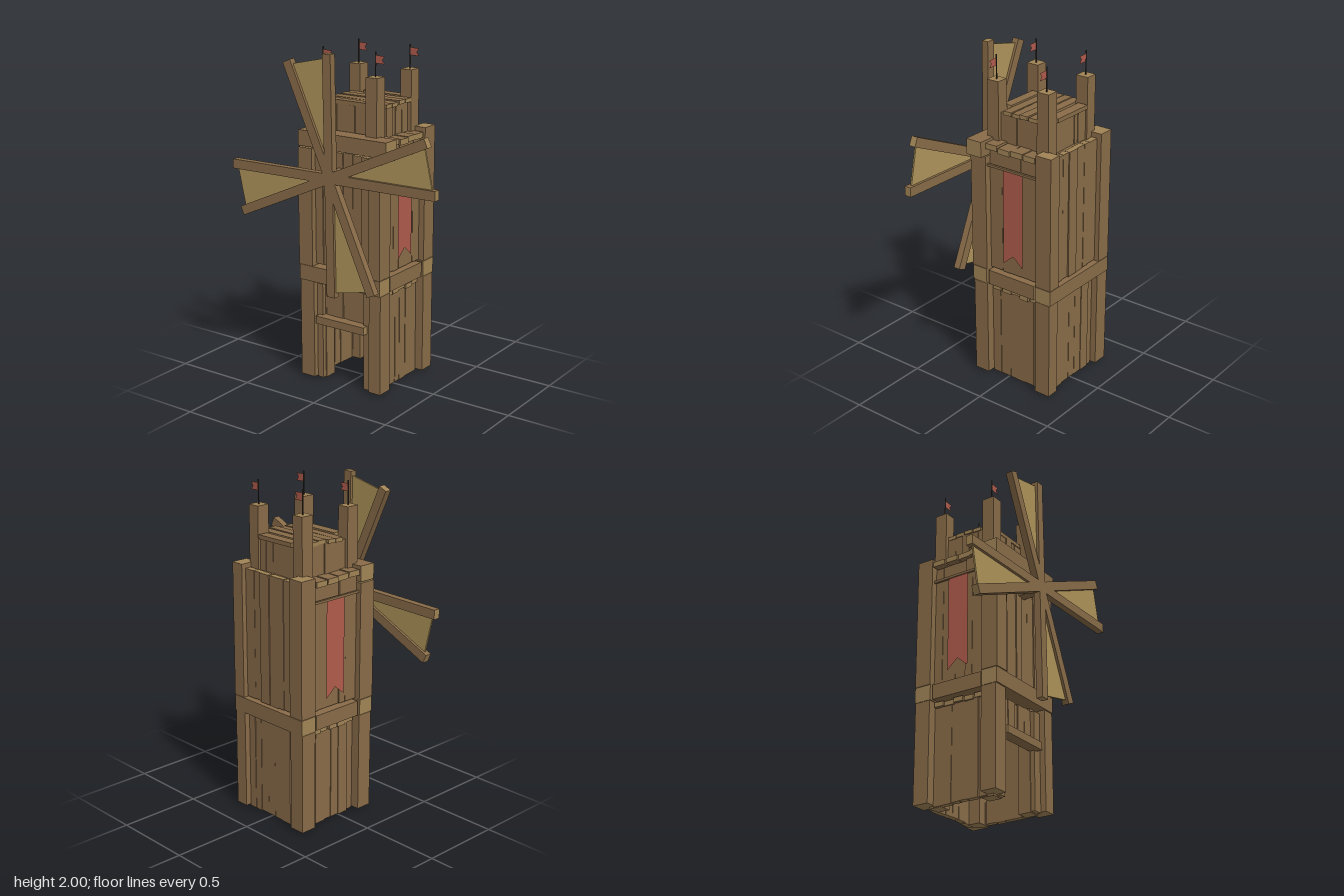
import * as THREE from 'three';

const paint = (color, side = THREE.FrontSide) =>
  new THREE.MeshStandardMaterial({ color, side, flatShading: true });

export function createModel() {
  const model = new THREE.Group();
  model.name = 'windmillTower';
  const wood = paint(0x886b48), endGrain = paint(0xa08355);
  const canvas = paint(0xae935a);
  const cloth = paint(0xb05b4c, THREE.DoubleSide);
  const iron = paint(0x3a3029);

  // Seeded jitter for the rough planks
  let seed = 7;
  const jitter = (a) => {
    seed = (seed * 16807) % 2147483647;
    return (seed / 2147483647 - 0.5) * 2 * a;
  };
  const toShape = (points) => new THREE.Shape(points.map(([x, y]) => new THREE.Vector2(x, y)));

  // Timber between two bounds; its two ends along `axis` show lighter end grain
  function timber(name, x, y, z, axis, parent = model) {
    const mats = [0, 0, 1, 1, 2, 2].map((a) => (a === axis ? endGrain : wood));
    const mesh = new THREE.Mesh(new THREE.BoxGeometry(x[1] - x[0], y[1] - y[0], z[1] - z[0]), mats);
    mesh.position.set((x[0] + x[1]) / 2, (y[0] + y[1]) / 2, (z[0] + z[1]) / 2);
    mesh.name = name;
    parent.add(mesh);
    return mesh;
  }

  // Row of upright planks of uneven width; alongX picks the wall direction, depth its thickness range
  function wall(name, alongX, span, y, depth, count) {
    const group = new THREE.Group();
    group.name = name;
    const step = (span[1] - span[0]) / count;
    let start = span[0];
    for (let i = 1; i <= count; i++) {
      const end = i === count ? span[1] : span[0] + i * step + jitter(step * 0.25);
      const s = [start, end - 0.001];
      const shift = jitter(0.005);
      const d = [depth[0] + shift, depth[1] + shift];
      const h = [y[0] + Math.abs(jitter(0.008)), y[1] - Math.abs(jitter(0.012))];
      const plank = timber('plank', alongX ? s : d, h, alongX ? d : s, 1, group);
      plank.rotation[alongX ? 'z' : 'x'] = jitter(0.004);
      start = end;
    }
    model.add(group);
  }

  // Row of flat planks running along x
  function deck(name, x, y, z, count) {
    const group = new THREE.Group();
    group.name = name;
    const step = (z[1] - z[0]) / count;
    for (let i = 0; i < count; i++) {
      const lift = jitter(0.006), ends = jitter(0.006);
      const plank = timber('plank', [x[0] + ends, x[1] + ends], [y[0] + lift, y[1] + lift],
        [z[0] + i * step + 0.003, z[0] + (i + 1) * step - 0.003], 0, group);
      plank.rotation.set(jitter(0.03), jitter(0.012), jitter(0.008));
    }
    model.add(group);
  }

  // Inner posts run the full height and carry small pennants
  const pennant = toShape([[0, 0], [0.062, -0.002], [0.045, 0.02], [0.062, 0.042], [0, 0.045]]);
  for (const x of [-0.235, 0.125]) {
    for (const z of [0.078, -0.27]) {
      timber('innerPost', [x, x + 0.075], [0, 1.86], [z, z + 0.08], 1);
      const pole = new THREE.Mesh(new THREE.CylinderGeometry(0.004, 0.004, 0.16, 6), iron);
      pole.name = 'flagPole';
      pole.position.set(x + 0.0385, 1.92, z + 0.04);
      const flag = new THREE.Mesh(new THREE.ShapeGeometry(pennant), cloth);
      flag.name = 'pennant';
      flag.position.set(x + 0.0385, 1.937, z + 0.04);
      model.add(pole, flag);
    }
  }

  // Outer corner posts in two storeys
  for (const x of [[-0.303, -0.205], [0.19, 0.27]]) {
    timber('lowerFrontPost', x, [0.012, 0.618], [0.12, 0.218], 1);
    timber('lowerBackPost', x, [0.012, 0.618], [-0.335, -0.235], 1);
    timber('upperFrontPost', x, [0.716, 1.425], [0.12, 0.228], 1);
    timber('upperBackPost', x, [0.716, 1.525], [-0.34, -0.235], 1);
  }

  // Beams between the storeys and across the front top
  timber('frontBand', [-0.303, 0.27], [0.62, 0.713], [0.125, 0.225], 0);
  timber('backBand', [-0.303, 0.27], [0.62, 0.713], [-0.34, -0.232], 0);
  timber('leftBand', [0.19, 0.265], [0.62, 0.71], [-0.22, 0.112], 2);
  timber('rightBand', [-0.297, -0.22], [0.62, 0.71], [-0.22, 0.112], 2);
  timber('frontTopBeam', [-0.302, 0.308], [1.432, 1.525], [0.12, 0.225], 0);

  // Lower walls, set back from the posts, with a doorway in front
  wall('lowerBackWall', true, [-0.205, 0.19], [0, 0.615], [-0.3, -0.265], 7);
  wall('lowerLeftWall', false, [-0.235, 0.12], [0, 0.6], [0.185, 0.22], 6);
  wall('lowerRightWall', false, [-0.235, 0.12], [0, 0.6], [-0.253, -0.218], 6);
  wall('aboveDoorWall', true, [-0.155, 0.125], [0.385, 0.605], [0.13, 0.16], 5);
  timber('doorJambRight', [-0.205, -0.165], [0.005, 0.6], [0.14, 0.185], 1);
  timber('doorJambLeft', [0.13, 0.188], [0.005, 0.6], [0.14, 0.185], 1);
  timber('doorLintel', [-0.19, 0.155], [0.36, 0.407], [0.15, 0.222], 0);

  // Upper walls
  wall('upperFrontWall', true, [-0.203, 0.188], [0.72, 1.425], [0.155, 0.195], 6);
  wall('upperBackWall', true, [-0.204, 0.19], [0.715, 1.5], [-0.316, -0.28], 6);
  wall('upperLeftWall', false, [-0.235, 0.12], [0.715, 1.475], [0.198, 0.233], 5);
  wall('upperRightWall', false, [-0.235, 0.12], [0.715, 1.475], [-0.266, -0.231], 5);

  // Turret walls
  wall('turretFrontWall', true, [-0.16, 0.126], [1.48, 1.69], [0.085, 0.11], 5);
  wall('turretBackWall', true, [-0.16, 0.126], [1.48, 1.69], [-0.255, -0.225], 5);
  wall('turretLeftWall', false, [-0.19, 0.08], [1.48, 1.685], [0.145, 0.175], 5);
  wall('turretRightWall', false, [-0.19, 0.08], [1.48, 1.685], [-0.215, -0.185], 5);

  // Floor, terrace and turret roof
  deck('upperFloor', [-0.265, 0.235], [0.58, 0.608], [-0.23, 0.11], 5);
  deck('terrace', [-0.299, 0.268], [1.472, 1.505], [-0.228, 0.118], 4);
  deck('turretRoof', [-0.22, 0.195], [1.675, 1.698], [-0.19, 0.055], 4);
  deck('roofFrontEdge', [-0.15, 0.118], [1.68, 1.705], [0.052, 0.115], 1);
  deck('roofBackEdge', [-0.15, 0.118], [1.68, 1.705], [-0.278, -0.21], 1);
  timber('terraceBackPlank', [-0.17, 0.18], [1.462, 1.49], [-0.282, -0.232], 0);

  // Hanging swallow-tailed banners on both sides
  const bannerShape = toShape([[-0.07, 0], [-0.07, -0.585], [0, -0.525], [0.07, -0.585], [0.07, 0]]);
  for (const [x, turn] of [[0.25, 1], [-0.283, -1]]) {
    const banner = new THREE.Mesh(new THREE.ShapeGeometry(bannerShape), cloth);
    banner.name = 'banner';
    banner.position.set(x, 1.367, -0.059);
    banner.rotation.y = turn * Math.PI / 2;
    model.add(banner);
    timber('bannerRod', [x - 0.007, x + 0.007], [1.367, 1.381], [-0.23, 0.12], 2);
  }

  // Windmill: axle plus four sails, each canvas held between two arms
  const rotor = new THREE.Group();
  rotor.name = 'rotor';
  rotor.position.set(0, 1.3, 0.32);
  model.add(rotor);
  timber('axle', [-0.034, 0.03], [-0.032, 0.03], [-0.17, 0.018], 2, rotor);
  const spread = THREE.MathUtils.degToRad(23.5);
  const sailShape = toShape([[0.08, 0], [0.678, 0], [0.678 * Math.cos(spread), 0.678 * Math.sin(spread)],
    [0.08 * Math.cos(spread), 0.08 * Math.sin(spread)]]);
  for (let i = 0; i < 4; i++) {
    const blade = new THREE.Group();
    blade.name = 'sail';
    blade.rotation.z = i * Math.PI / 2 + THREE.MathUtils.degToRad(0.8);
    for (const angle of [0, spread]) {
      const arm = new THREE.Group();
      arm.name = 'sailArm';
      arm.rotation.z = angle;
      timber('armBeam', [0, 0.7], [-0.028, 0.028], [-0.021, 0.021], 0, arm);
      blade.add(arm);
    }
    const sheet = new THREE.Mesh(
      new THREE.ExtrudeGeometry(sailShape, { depth: 0.01, bevelEnabled: false }), canvas);
    sheet.name = 'sailCanvas';
    sheet.position.z = -0.005;
    blade.add(sheet);
    rotor.add(blade);
  }
  return model;
}
